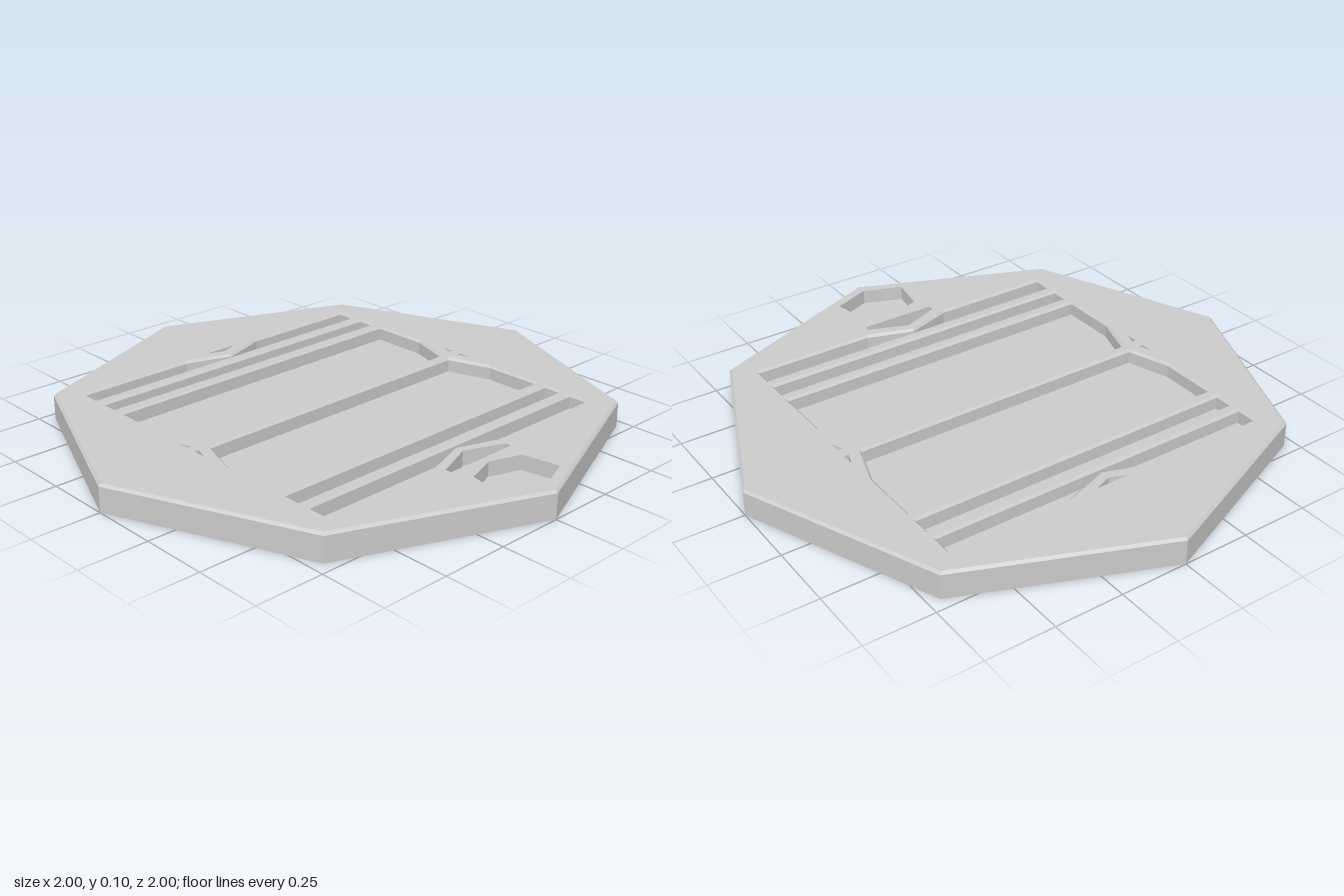
import * as THREE from 'three';

const HEIGHT = 0.1;
const FLOOR = 0.045;
const BEVEL = 0.009;

// Outlines are Vector2 loops with y = -z; solid outlines run counter-clockwise, pockets clockwise.
function outline(points, isHole) {
  const loop = points.map(([x, z]) => new THREE.Vector2(x, -z));
  return THREE.ShapeUtils.isClockWise(loop) === isHole ? loop : loop.reverse();
}

// Mitred offset; a positive distance moves the loop into the material.
function offset(loop, d) {
  const n = loop.length;
  return loop.map((p, i) => {
    const a = p.clone().sub(loop[(i + n - 1) % n]).normalize();
    const b = loop[(i + 1) % n].clone().sub(p).normalize();
    const na = new THREE.Vector2(-a.y, a.x);
    const nb = new THREE.Vector2(-b.y, b.x);
    const m = na.clone().add(nb);
    return p.clone().addScaledVector(m, d / (1 + na.dot(nb)));
  });
}

// Flat-faced band joining two matching loops at different heights.
function band(lower, y0, upper, y1) {
  const pos = [];
  const put = (p, y) => pos.push(p.x, y, -p.y);
  lower.forEach((a, i) => {
    const j = (i + 1) % lower.length;
    put(a, y0); put(lower[j], y0); put(upper[j], y1);
    put(a, y0); put(upper[j], y1); put(upper[i], y1);
  });
  const g = new THREE.BufferGeometry();
  g.setAttribute('position', new THREE.Float32BufferAttribute(pos, 3));
  g.computeVertexNormals();
  return g;
}

// Horizontal face at a height, with optional openings.
function face(loop, y, holes = [], down = false) {
  const shape = new THREE.Shape(loop);
  shape.holes = holes.map(h => new THREE.Path(h));
  const g = new THREE.ShapeGeometry(shape).rotateX(-Math.PI / 2);
  if (down) g.rotateX(Math.PI).scale(1, 1, 1);
  return g.translate(0, y, 0);
}

const flipZ = pts => pts.map(([x, z]) => [x, -z]);
const flipX = pts => pts.map(([x, z]) => [-x, z]);

export function createModel() {
  const group = new THREE.Group();
  const material = new THREE.MeshStandardMaterial({ color: 0xcccccc, flatShading: true });
  const add = (parent, name, geometry) => {
    const mesh = new THREE.Mesh(geometry, material);
    mesh.name = name;
    parent.add(mesh);
  };

  // Pockets of the back half that repeat mirrored at the front
  const W = 0.635;
  const notchedSlot = [[-W, -0.638], [-0.17, -0.638], [0, -0.58], [0.17, -0.638], [W, -0.638], [W, -0.547], [-W, -0.547]];
  const slot = [[-W, -0.52], [W, -0.52], [W, -0.436], [-W, -0.436]];
  const largePocket = [[-W, -0.408], [W, -0.408], [W, -0.18], [0.58, -0.012], [-0.58, -0.012], [-W, -0.18]];
  const sideMark = [[0.64, -0.068], [0.64, -0.02], [0.622, -0.02]];

  const pockets = [];
  for (const [side, mirror] of [['back', p => p], ['front', flipZ]]) {
    pockets.push(
      { name: side + 'NotchedSlot', points: mirror(notchedSlot), bevel: BEVEL },
      { name: side + 'Slot', points: mirror(slot), bevel: BEVEL },
      { name: side + 'LargePocket', points: mirror(largePocket), bevel: BEVEL },
      { name: side + 'LeftMark', points: mirror(sideMark), bevel: 0 },
      { name: side + 'RightMark', points: mirror(flipX(sideMark)), bevel: 0 },
    );
  }
  // Single pockets on the centre line
  pockets.push(
    { name: 'backMark', points: [[-0.065, -0.64], [0.065, -0.64], [0, -0.614]], bevel: 0 },
    { name: 'frontChevron', points: [[-0.145, 0.69], [-0.145, 0.667], [0, 0.61], [0.145, 0.667], [0.145, 0.69]], bevel: 0 },
    { name: 'frontHexagon', points: [[0, 0.72], [0.118, 0.76], [0.142, 0.895], [0, 0.952], [-0.142, 0.895], [-0.118, 0.76]], bevel: 0 },
  );

  // Octagonal slab
  const corners = Array.from({ length: 8 }, (_, i) => [Math.cos(i * Math.PI / 4), Math.sin(i * Math.PI / 4)]);
  const outer = outline(corners, false);
  const topRim = offset(outer, BEVEL);
  const slab = new THREE.Group();
  slab.name = 'slab';
  group.add(slab);
  add(slab, 'underside', face(outer, 0, [], true));
  add(slab, 'outerWall', band(outer, 0, outer, HEIGHT - BEVEL));
  add(slab, 'outerBevel', band(outer, HEIGHT - BEVEL, topRim, HEIGHT));

  // Recesses with floor, wall and bevelled rim
  const rims = pockets.map(({ name, points, bevel }) => {
    const rim = outline(points, true);
    const wall = offset(rim, -bevel);
    const pocket = new THREE.Group();
    pocket.name = name;
    group.add(pocket);
    add(pocket, name + 'Floor', face(wall, FLOOR));
    add(pocket, name + 'Wall', band(wall, FLOOR, wall, HEIGHT - bevel));
    if (bevel) add(pocket, name + 'Bevel', band(wall, HEIGHT - bevel, rim, HEIGHT));
    return rim;
  });
  add(slab, 'topFace', face(topRim, HEIGHT, rims));

  return group;
}
